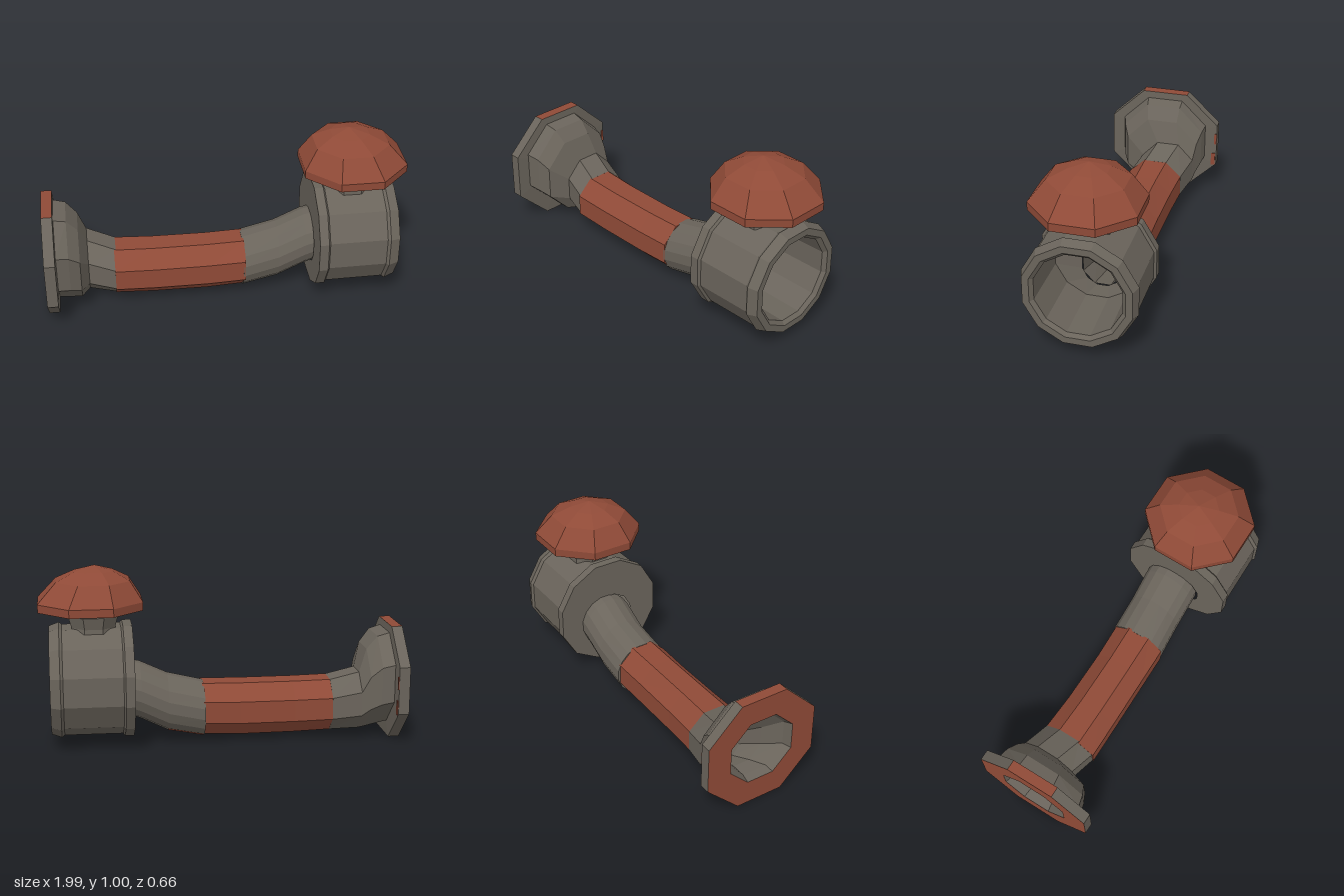
import * as THREE from 'three';

const grey = new THREE.MeshStandardMaterial({ color: 0x6a645b, flatShading: true });
grey.name = 'warm grey metal';
const red = new THREE.MeshStandardMaterial({ color: 0x8f4a37, flatShading: true });
red.name = 'rust red';

// Skins rings [x, centreY, centreZ, radiusY, radiusZ] lying across x; one edge of each ring faces up.
// isRed(segment, side) picks the faces painted red.
function loft(name, rings, sides, isRed = () => false) {
  const start = Math.PI / 2 - Math.PI / sides;
  const point = (i, j) => {
    const [x, cy, cz, ry, rz] = rings[i];
    const a = start + (j / sides) * Math.PI * 2;
    return [x, cy + ry * Math.sin(a), cz + rz * Math.cos(a)];
  };
  const faces = [[], []];
  for (let i = 0; i < rings.length - 1; i++) {
    for (let j = 0; j < sides; j++) {
      const a = point(i, j), b = point(i + 1, j), c = point(i + 1, j + 1), d = point(i, j + 1);
      faces[isRed(i, j) ? 1 : 0].push(...a, ...b, ...c, ...a, ...c, ...d);
    }
  }
  const geometry = new THREE.BufferGeometry();
  geometry.setAttribute('position', new THREE.Float32BufferAttribute([...faces[0], ...faces[1]], 3));
  geometry.addGroup(0, faces[0].length / 3, 0);
  geometry.addGroup(faces[0].length / 3, faces[1].length / 3, 1);
  geometry.computeVertexNormals();
  const mesh = new THREE.Mesh(geometry, [grey, red]);
  mesh.name = name;
  return mesh;
}

// Eight-sided turned part around a vertical axis, with flats towards x and z; its top leans to -x
function turned(name, profile, material, x, lean = 0) {
  const points = profile.map(([r, y]) => new THREE.Vector2(r, y));
  const geometry = new THREE.LatheGeometry(points, 8, Math.PI / 8).toNonIndexed();
  const p = geometry.attributes.position;
  for (let i = 0; i < p.count; i++) p.setX(i, p.getX(i) - Math.max(0, p.getY(i) - 0.81) * lean);
  geometry.computeVertexNormals();
  const mesh = new THREE.Mesh(geometry, material);
  mesh.name = name;
  mesh.position.x = x;
  return mesh;
}

// Thin red plate
function plate(name, size, position) {
  const mesh = new THREE.Mesh(new THREE.BoxGeometry(...size), red);
  mesh.name = name;
  mesh.position.set(...position);
  return mesh;
}

export function createModel() {
  const model = new THREE.Group();
  model.name = 'valvePipe';

  // Octagonal end flange: red back face, red top and bottom edges, two red marks on the front
  const flange = [[-1, 0.2], [-1, 0.345], [-0.94, 0.345], [-0.935, 0.25]]
    .map(([x, r]) => [x, 0.322, 0, r, r * 1.04]);
  model.add(loft('flange', flange, 8, (i, j) => i === 0 || (i === 1 && j % 4 === 0)));
  model.add(plate('upperFlangeMark', [0.006, 0.07, 0.014], [-0.938, 0.365, -0.323]));
  model.add(plate('lowerFlangeMark', [0.006, 0.08, 0.025], [-0.938, 0.225, -0.312]));

  // Bell sweeping down from the flange to the pipe
  model.add(loft('bell', [
    [-0.94, 0.345, 0, 0.275, 0.28],
    [-0.87, 0.328, -0.005, 0.273, 0.263],
    [-0.81, 0.285, -0.012, 0.243, 0.235],
    [-0.765, 0.222, -0.06, 0.175, 0.168],
    [-0.61, 0.19, -0.022, 0.157, 0.168],
    [-0.61, 0.19, -0.022, 0.13, 0.13],
  ], 8));

  // Red grip in the middle of the pipe, closed against the bore at both ends
  model.add(loft('grip', [
    [-0.62, 0.19, -0.02, 0.13, 0.13],
    [-0.62, 0.19, -0.02, 0.157, 0.17],
    [-0.4, 0.183, -0.014, 0.159, 0.163],
    [-0.1, 0.182, -0.012, 0.16, 0.16],
    [0.11, 0.19, -0.014, 0.157, 0.163],
    [0.11, 0.19, -0.014, 0.13, 0.13],
  ], 8, () => true));

  // Neck rising into the socket, with a red patch underneath
  model.add(loft('neck', [
    [0.1, 0.185, -0.02, 0.13, 0.13],
    [0.1, 0.183, -0.02, 0.157, 0.16],
    [0.3, 0.228, -0.025, 0.162, 0.155],
    [0.45, 0.3, -0.024, 0.16, 0.157],
    [0.5, 0.315, -0.024, 0.155, 0.157],
  ], 16, (i, j) => i === 1 && j >= 7 && j <= 9));

  // Hollow bore running the whole length, opening as a funnel in the flange
  model.add(loft('bore', [
    [0.56, 0.32, -0.025, 0.125, 0.115],
    [0.35, 0.265, -0.025, 0.12, 0.1],
    [0.1, 0.195, -0.035, 0.11, 0.085],
    [-0.6, 0.195, -0.045, 0.103, 0.058],
    [-0.78, 0.235, -0.045, 0.11, 0.08],
    [-0.87, 0.28, -0.025, 0.14, 0.13],
    [-0.95, 0.318, 0, 0.185, 0.19],
    [-1, 0.322, 0, 0.2, 0.208],
  ], 8));

  // Twelve-sided cup socket, flared at both ends, with a red facet under the front rim
  const socket = [
    [0.49, 0.15], [0.49, 0.322], [0.54, 0.322], [0.55, 0.308], [0.87, 0.306],
    [0.885, 0.318], [0.94, 0.298], [0.94, 0.26], [0.92, 0.24], [0.58, 0.235],
  ].map(([x, r]) => [x, 0.364, 0, r, r]);
  socket[0][1] = 0.315;
  socket.push([0.56, 0.32, -0.025, 0.125, 0.115]);
  model.add(loft('socket', socket, 12, (i, j) => i === 5 && j === 6));

  // Knob on top: stem, domed cap and its underside with a red patch
  model.add(turned('knobStem', [[0.13, 0.64], [0.128, 0.665], [0.146, 0.73], [0.13, 0.77]], grey, 0.698));
  model.add(turned('knobCap', [[0.304, 0.765], [0.305, 0.81], [0.215, 0.92], [0.11, 0.97], [0, 1.0]], red, 0.712, 0.15));
  model.add(turned('knobUnderside', [[0, 0.768], [0.304, 0.765]], grey, 0.712));
  model.add(plate('undersideMark', [0.09, 0.005, 0.12], [0.5, 0.766, -0.06]));

  return model;
}
